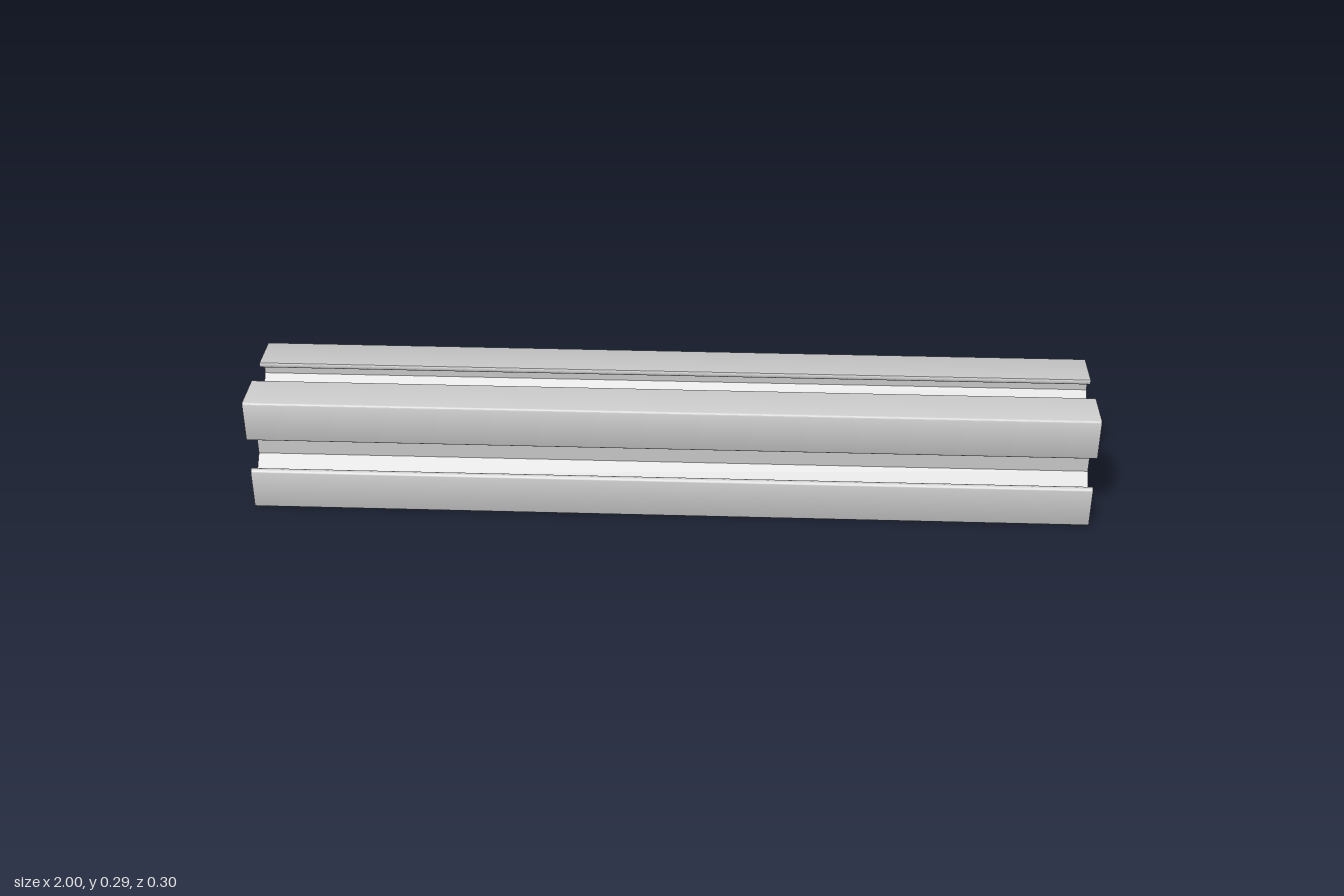
import * as THREE from 'three';
import { toCreasedNormals } from 'three/addons/utils/BufferGeometryUtils.js';

const LENGTH = 2;
const HALF_W = 0.149;   // half width along z
const HALF_H = 0.1457;  // half height along y
const CORE = 0.0597;    // half size of the square core
const INNER = 0.131;    // inner face of the slot lips
const BLOCK = 0.082;    // inner face of the corner blocks
const SLOT = 0.041;     // half opening of each slot
const LIP_R = (HALF_W - INNER) / 2;

// Points on an arc, angles in degrees
function arc(cx, cy, r, from, to, steps) {
  return Array.from({ length: steps + 1 }, (_, i) => {
    const a = THREE.MathUtils.degToRad(from + ((to - from) * i) / steps);
    return [cx + r * Math.cos(a), cy + r * Math.sin(a)];
  });
}

// One quarter of the cross-section, counter-clockwise
function quarterProfile() {
  const corner = 0.008;
  const lip = INNER + LIP_R;
  const cut = 180 - THREE.MathUtils.radToDeg(Math.asin((HALF_H - lip) / LIP_R));
  return [
    [CORE, 0.047], [0.096, BLOCK], [INNER, BLOCK],
    ...arc(lip, SLOT + LIP_R, LIP_R, 180, 360, 12),               // side lip
    ...arc(HALF_W - corner, HALF_H - corner, corner, 0, 90, 6),   // outer corner
    ...arc(SLOT + LIP_R, lip, LIP_R, cut, 270, 8),                // top lip
    [BLOCK, INNER], [BLOCK, 0.096], [0.047, CORE],
  ];
}

export function createModel() {
  const group = new THREE.Group();
  group.name = 'slottedRail';

  // Mirror the quarter into the full outline
  const q = quarterProfile();
  const mirror = (sx, sy) => {
    const pts = q.map(([x, y]) => new THREE.Vector2(x * sx, y * sy));
    return sx * sy < 0 ? pts.reverse() : pts;
  };
  const shape = new THREE.Shape([
    ...mirror(1, 1), ...mirror(-1, 1), ...mirror(-1, -1), ...mirror(1, -1),
  ]);

  // Centre bore
  const bore = new THREE.Path();
  bore.absarc(0, 0, 0.0345, 0, Math.PI * 2, true);
  shape.holes.push(bore);

  // Extrude along x
  const extruded = new THREE.ExtrudeGeometry(shape, {
    depth: LENGTH, bevelEnabled: false, curveSegments: 24,
  });
  extruded.translate(0, 0, -LENGTH / 2);
  extruded.rotateY(Math.PI / 2);
  extruded.translate(0, HALF_H, 0);

  const rail = new THREE.Mesh(
    toCreasedNormals(extruded, 0.5),
    new THREE.MeshStandardMaterial({ color: 0xcccccc }),
  );
  rail.name = 'rail';
  group.add(rail);
  return group;
}
